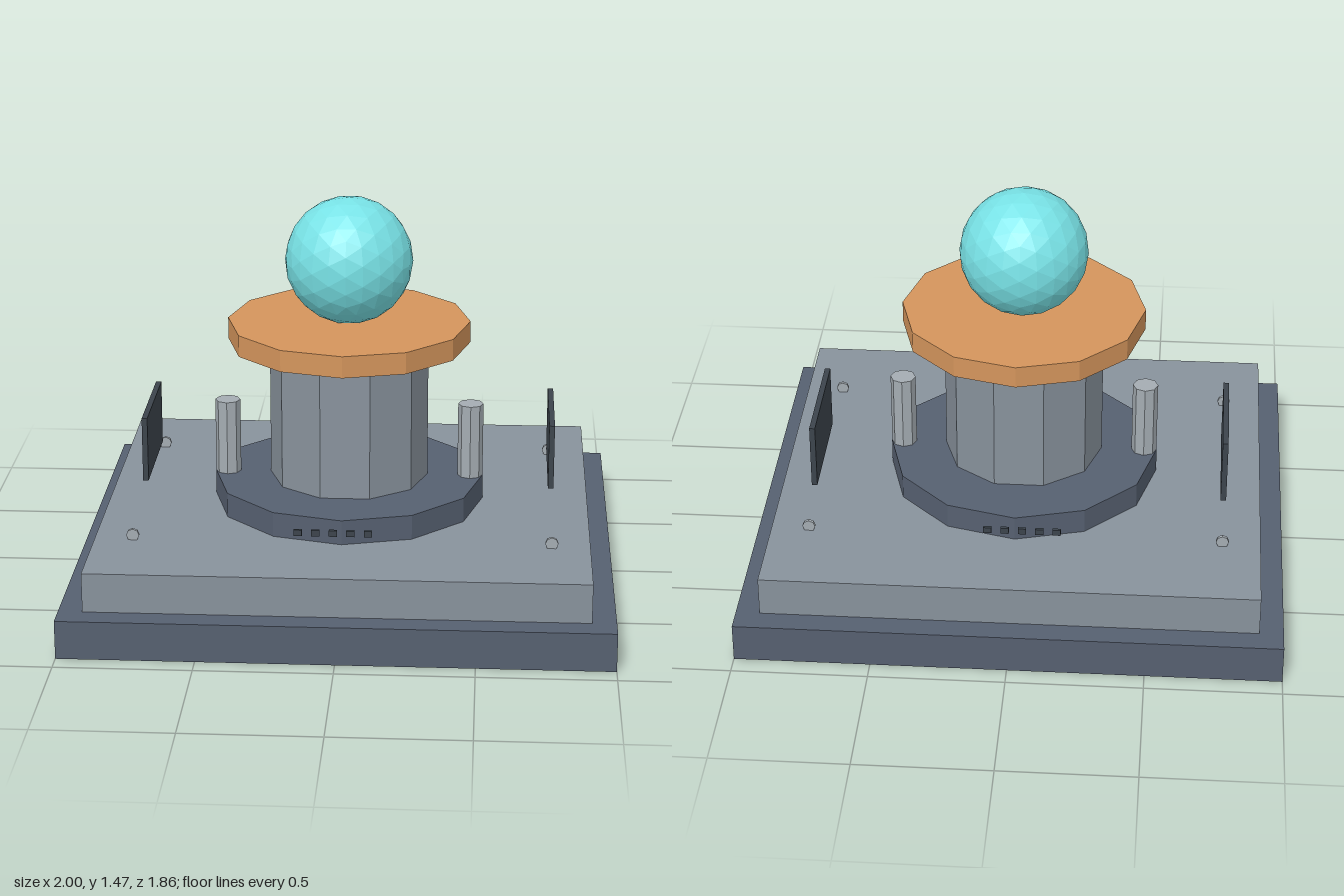
import * as THREE from 'three';

const paint = (color) => new THREE.MeshStandardMaterial({ color, flatShading: true });

export function createModel() {
  const model = new THREE.Group();
  const slate = paint(0x566070), stone = paint(0x88929c), copper = paint(0xd4955c);
  const crystal = paint(0x78e2e6), steel = paint(0xa4acb2), dark = paint(0x3c444c);

  function add(name, geometry, material, x, y, z) {
    const mesh = new THREE.Mesh(geometry, material);
    mesh.name = name;
    mesh.position.set(x, y, z);
    model.add(mesh);
    return mesh;
  }
  const box = (name, mat, w, h, d, x, y, z) =>
    add(name, new THREE.BoxGeometry(w, h, d), mat, x, y, z);
  // Upright prism with a corner on the x axis, from height y0 to y1
  const prism = (name, mat, r, sides, y0, y1, x = 0) =>
    add(name, new THREE.CylinderGeometry(r, r, y1 - y0, sides).rotateY(Math.PI / 2), mat, x, (y0 + y1) / 2, 0);

  // Stepped base
  box('basePlate', slate, 2, 0.145, 1.855, 0, 0.0725, 0);
  box('upperStep', stone, 1.824, 0.149, 1.676, 0, 0.2185, 0);

  // Central pedestal
  prism('pedestalFoot', slate, 0.512, 12, 0.292, 0.387);
  prism('pedestalColumn', stone, 0.3, 10, 0.387, 0.918);
  prism('pedestalTop', copper, 0.457, 12, 0.918, 1.0);

  // Faceted orb
  add('orb', new THREE.IcosahedronGeometry(0.24, 3), crystal, 0, 1.233, 0);

  for (const side of [-1, 1]) {
    prism('sidePost', steel, 0.048, 8, 0.387, 0.674, side * 0.463);
    box('sidePanel', dark, 0.021, 0.25, 0.44, side * 0.77, 0.503, -0.107);

    // Thin upright bolts near the corners
    for (const end of [-1, 1]) {
      add('cornerBolt', new THREE.CylinderGeometry(0.024, 0.024, 0.013, 8).rotateX(Math.PI / 2),
        steel, side * 0.77, 0.311, end * 0.5);
    }

    // Row of small markers at the front and back
    for (let i = 0; i < 5; i++) {
      box('marker', dark, 0.03, 0.023, 0.012, -0.158 + i * 0.0643, 0.347, side * 0.535);
    }
  }
  return model;
}
